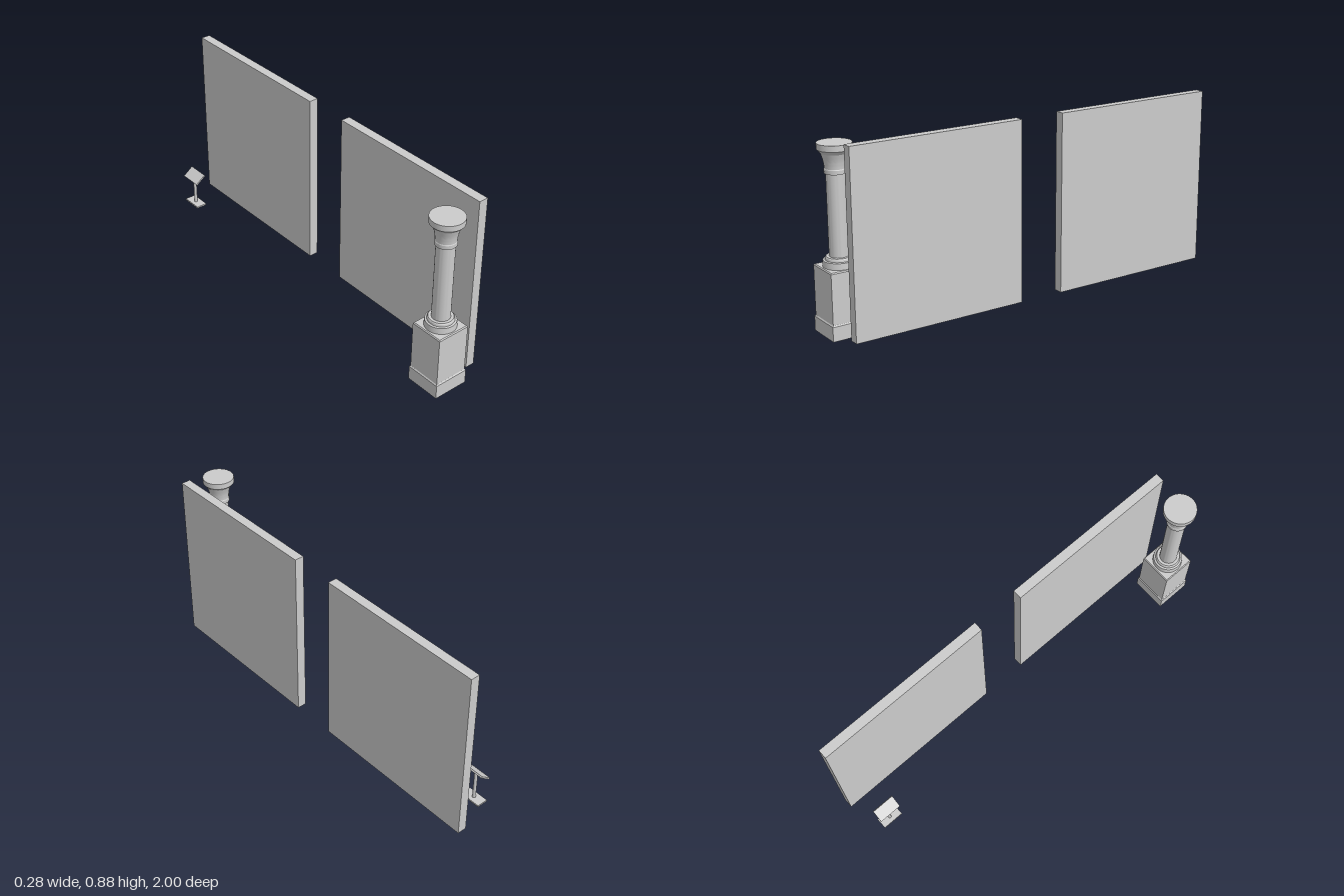
import * as THREE from 'three';
import { toCreasedNormals } from 'three/addons/utils/BufferGeometryUtils.js';

const material = new THREE.MeshStandardMaterial({ color: 0xcccccc });

function addMesh(parent, name, geometry, x = 0, y = 0, z = 0) {
  const mesh = new THREE.Mesh(geometry, material);
  mesh.name = name;
  mesh.position.set(x, y, z);
  parent.add(mesh);
  return mesh;
}

// Turns a [radius, height] profile, running bottom to top, into a solid
function turned(profile, sides, phiStart = 0, scale = 1) {
  const points = profile.map(([r, y]) => new THREE.Vector2(r * scale, y));
  return toCreasedNormals(new THREE.LatheGeometry(points, sides, phiStart), 0.4);
}

function createColumn() {
  const column = new THREE.Group();
  column.name = 'column';

  // Square pedestal: plinth, then a dado with a bevelled top
  addMesh(column, 'pedestal', turned([
    [0, 0], [0.086, 0], [0.086, 0.067], [0.084, 0.069], [0.0815, 0.073],
    [0.0815, 0.303], [0.0775, 0.308], [0, 0.308],
  ], 4, Math.PI / 4, Math.SQRT2));

  // Stepped round foot of the shaft
  addMesh(column, 'columnBase', turned([
    [0, 0.308], [0.071, 0.308], [0.069, 0.337], [0.060, 0.339],
    [0.0585, 0.348], [0.055, 0.353], [0, 0.353],
  ], 40));

  addMesh(column, 'shaft', turned([[0.0415, 0.353], [0.0415, 0.722]], 40));

  // Collar, concave bell and wide round top
  const bell = new THREE.CubicBezierCurve(
    new THREE.Vector2(0.046, 0.742), new THREE.Vector2(0.047, 0.768),
    new THREE.Vector2(0.052, 0.785), new THREE.Vector2(0.060, 0.808),
  ).getPoints(8).map((p) => [p.x, p.y]);
  addMesh(column, 'capital', turned([
    [0, 0.72], [0.048, 0.72], [0.048, 0.738], ...bell,
    [0.076, 0.825], [0.076, 0.852], [0, 0.852],
  ], 40));

  column.position.set(-0.053, 0, 0.914);
  return column;
}

function createStand() {
  const stand = new THREE.Group();
  stand.name = 'lectern';
  addMesh(stand, 'standFoot', new THREE.BoxGeometry(0.055, 0.008, 0.105), 0, 0.004, 0);
  addMesh(stand, 'standPost', new THREE.CylinderGeometry(0.008, 0.008, 0.15, 20), 0, 0.083, 0);
  // Reading board, sloping down toward -x
  const board = addMesh(stand, 'standBoard', new THREE.BoxGeometry(0.064, 0.008, 0.113), 0, 0.163, 0);
  board.rotation.z = 0.64;
  stand.position.set(-0.067, 0.014, -0.893);
  return stand;
}

export function createModel() {
  const model = new THREE.Group();
  model.name = 'columnWithPanels';
  model.add(createColumn(), createStand());

  // Two square upright panels in line
  const side = 0.861;
  for (const [name, z] of [['frontPanel', 0.515], ['backPanel', -0.5695]]) {
    addMesh(model, name, new THREE.BoxGeometry(0.045, side, side), 0.1155, 0.014 + side / 2, z);
  }
  return model;
}
